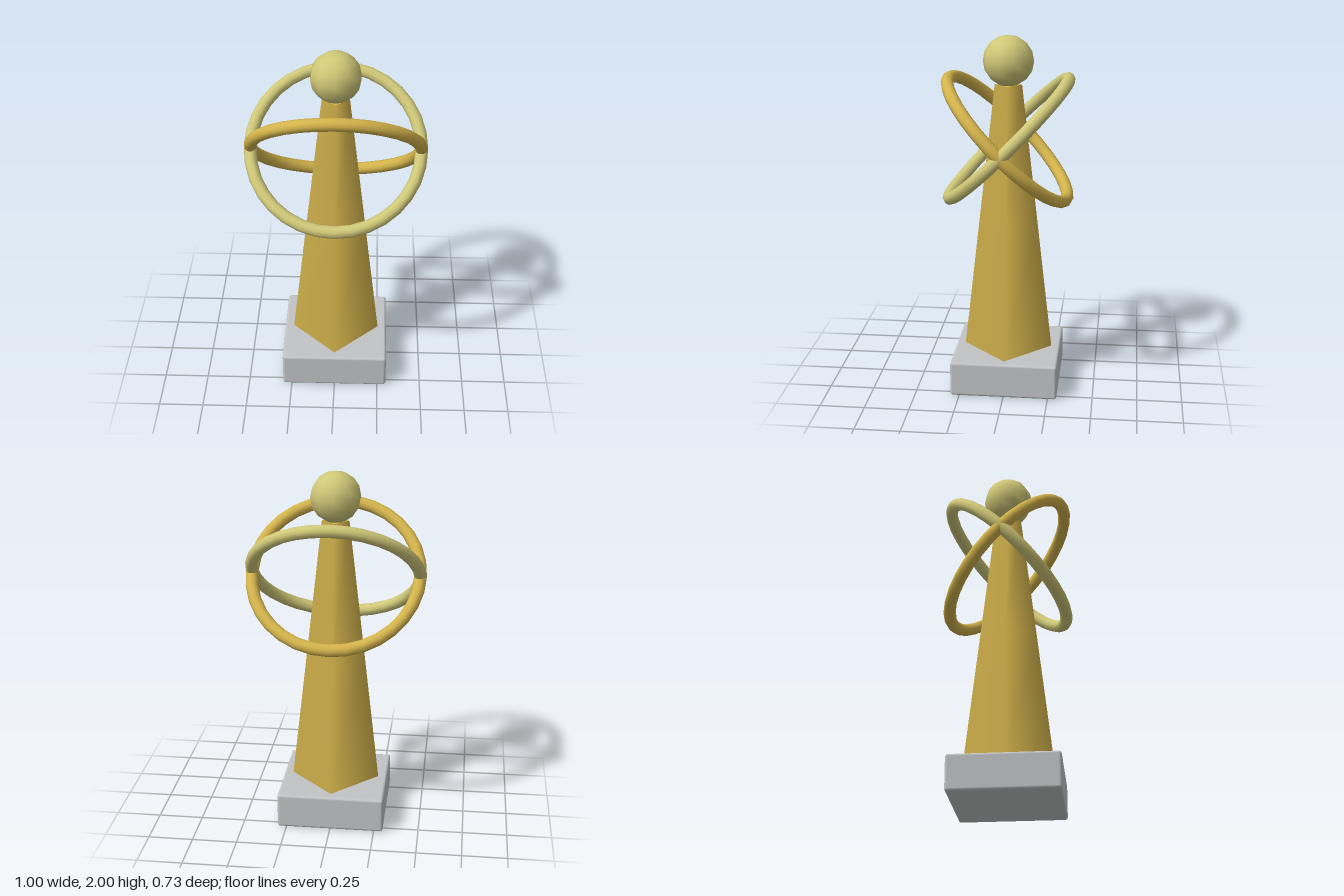
import * as THREE from 'three';
import { RoundedBoxGeometry } from 'three/addons/geometries/RoundedBoxGeometry.js';

export function createModel() {
  const model = new THREE.Group();
  model.name = 'trophy';

  const material = (name, color) => {
    const m = new THREE.MeshStandardMaterial({ color });
    m.name = name;
    return m;
  };
  const gold = material('gold', 0xd4b44c);
  const paleGold = material('paleGold', 0xd0c878);
  const silver = material('silver', 0xc3c4c6);

  const add = (name, geometry, mat, y) => {
    const mesh = new THREE.Mesh(geometry, mat);
    mesh.name = name;
    mesh.position.y = y;
    model.add(mesh);
    return mesh;
  };

  // Square plinth with softened edges
  add('plinth', new RoundedBoxGeometry(0.6, 0.2, 0.6, 2, 0.015), silver, 0.1);

  // Four-sided tapering column, corners pointing along x and z
  add('column', new THREE.CylinderGeometry(0.075, 0.25, 1.53, 4, 2), gold, 0.965);

  // Ball resting on the column, corners pointing along z
  const ball = add('ball', new THREE.SphereGeometry(0.14, 10, 8), paleGold, 1.86);
  ball.rotation.y = Math.PI / 2;

  // Two crossed rings, tilted forward and backward
  for (const [name, mat, side] of [['frontRing', gold, 1], ['backRing', paleGold, -1]]) {
    const ring = add(name, new THREE.TorusGeometry(0.465, 0.035, 10, 32), mat, 1.43);
    ring.rotation.x = side * Math.PI / 4;
  }

  return model;
}
